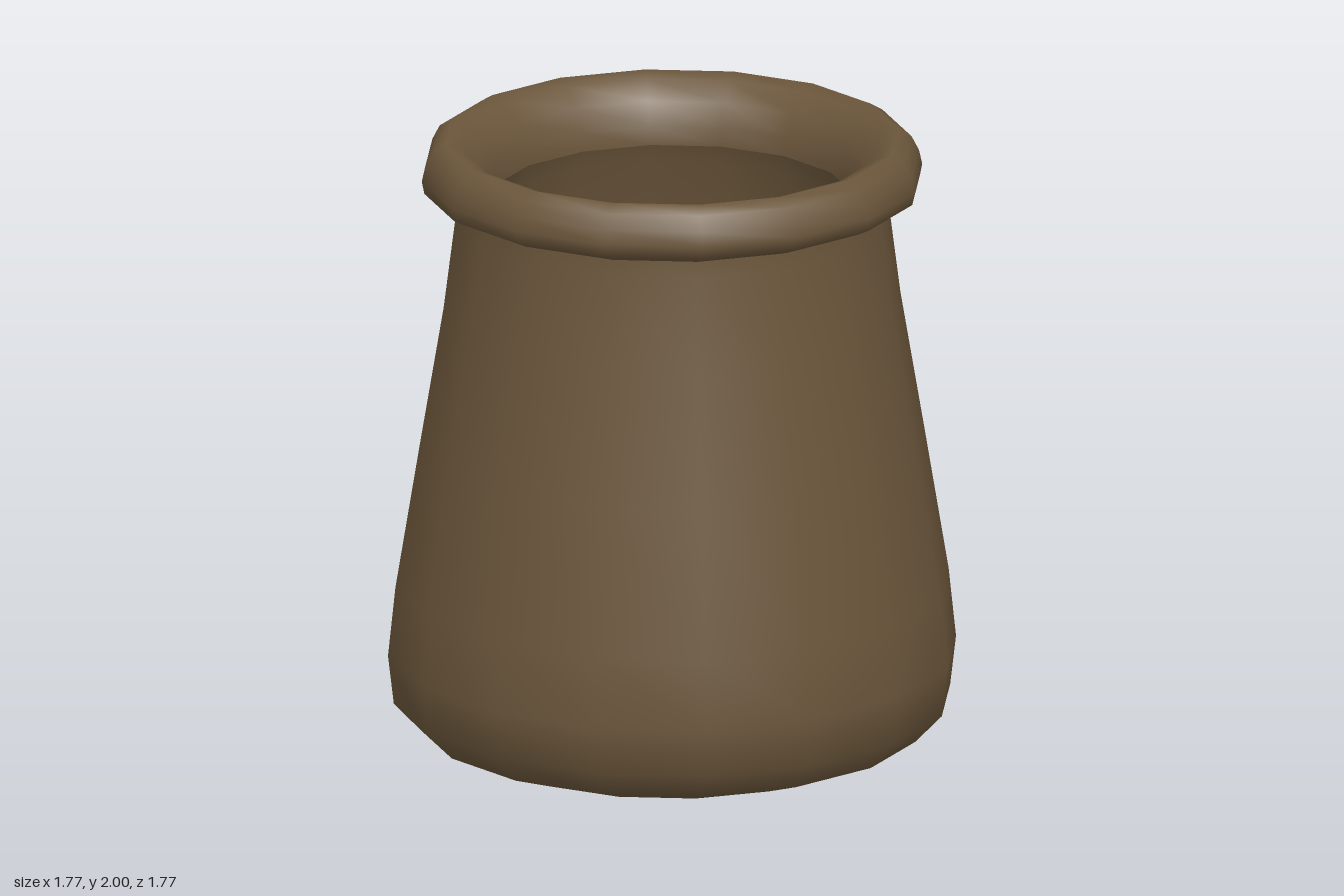
import * as THREE from 'three';

const SIDES = 16;

export function createModel() {
  const group = new THREE.Group();
  group.name = 'jar';
  const clay = new THREE.MeshStandardMaterial({ color: 0x6b563b });
  clay.name = 'brown clay';

  // Turns a profile of [radius, height] pairs around the y axis.
  const turned = (name, profile) => {
    const points = profile.map(([r, y]) => new THREE.Vector2(r, y));
    const mesh = new THREE.Mesh(new THREE.LatheGeometry(points, SIDES), clay);
    mesh.name = name;
    group.add(mesh);
  };

  // Rounded base and tapering outer wall
  turned('outerBody', [
    [0, 0], [0.33, 0.015], [0.61, 0.05], [0.78, 0.11], [0.865, 0.2], [0.883, 0.355],
    [0.86, 0.575], [0.785, 1.03], [0.71, 1.475], [0.675, 1.75], [0.672, 1.81],
  ]);

  // Rolled lip, from the neck over the top and down into the mouth
  turned('lip', [
    [0.672, 1.805], [0.73, 1.825], [0.77, 1.845], [0.778, 1.885], [0.768, 1.93],
    [0.745, 1.975], [0.705, 2.0], [0.66, 1.985], [0.6, 1.93], [0.565, 1.86], [0.562, 1.8],
  ]);

  // Hollow inside with a bowl-shaped floor
  turned('innerBody', [
    [0.562, 1.8], [0.585, 1.74], [0.66, 1.475], [0.735, 1.03], [0.81, 0.62],
    [0.825, 0.48], [0.77, 0.31], [0.62, 0.18], [0.36, 0.1], [0, 0.07],
  ]);

  return group;
}
